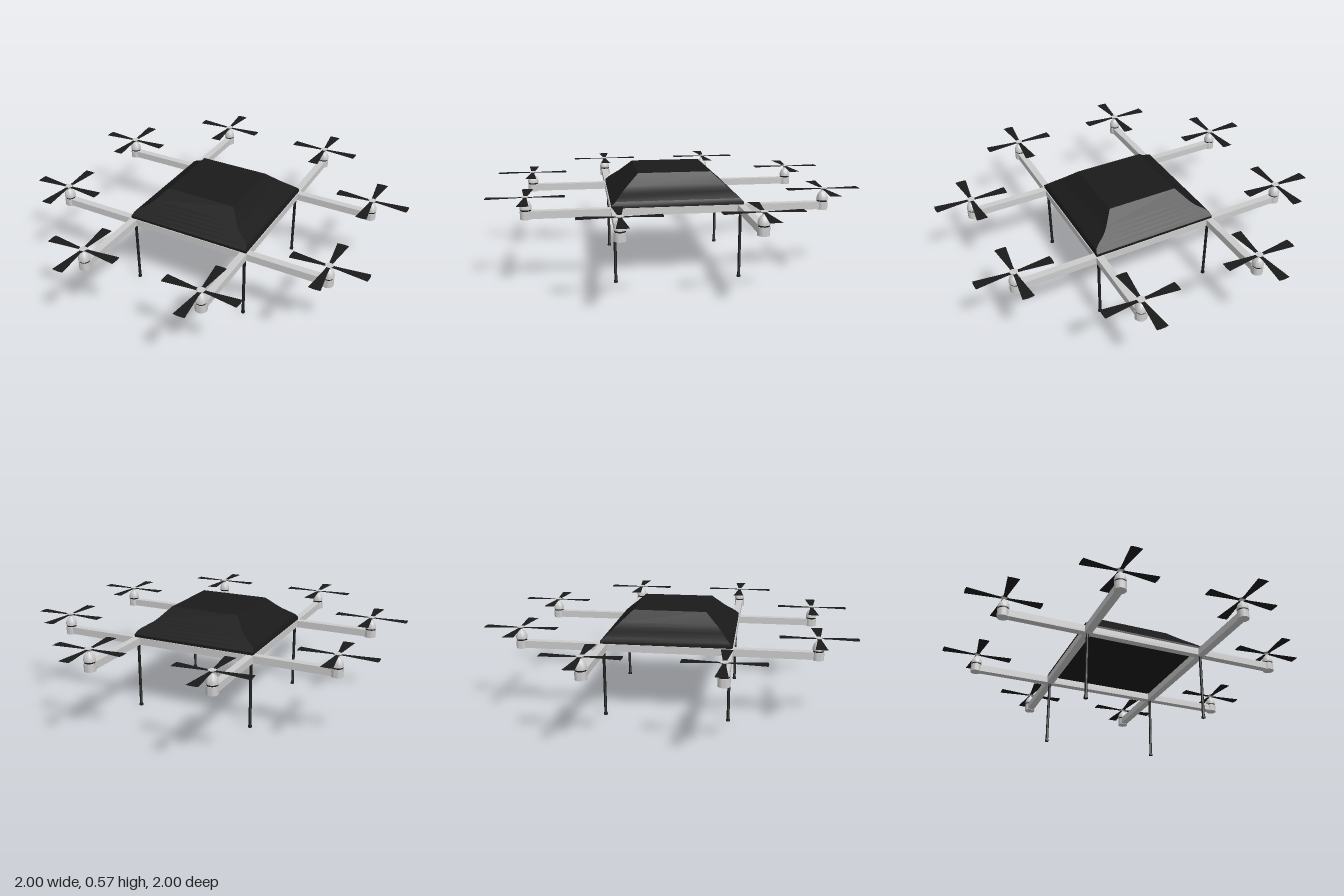
import * as THREE from 'three';
import { toCreasedNormals } from 'three/addons/utils/BufferGeometryUtils.js';

const grey = new THREE.MeshStandardMaterial({ color: 0xcccccc });
const black = new THREE.MeshStandardMaterial({ color: 0x1a1a1a });
const blackThin = new THREE.MeshStandardMaterial({ color: 0x1a1a1a, side: THREE.DoubleSide });

const BEAM = 0.34;  // offset of the beams from the centre
const TIP = 0.797;  // distance of the rotors along the beams

function mesh(name, geometry, material, x = 0, y = 0, z = 0) {
  const m = new THREE.Mesh(geometry, material);
  m.name = name;
  m.position.set(x, y, z);
  return m;
}

function lathe(points, segments = 24) {
  const profile = points.map(([r, y]) => new THREE.Vector2(r, y));
  return toCreasedNormals(new THREE.LatheGeometry(profile, segments), 0.6);
}

// Hipped cover: rectangular rings [y, half width, half depth], closed top and bottom
function coverGeometry() {
  const rings = [
    [0.415, 0.355, 0.355], [0.43, 0.355, 0.355], [0.448, 0.348, 0.334], [0.465, 0.325, 0.316],
    [0.48, 0.297, 0.3], [0.495, 0.274, 0.283], [0.512, 0.254, 0.264], [0.57, 0.2, 0.2],
  ];
  const corners = rings.map(([y, w, d]) => [[-w, y, d], [w, y, d], [w, y, -d], [-w, y, -d]]);
  const pos = [];
  const quad = (a, b, c, d) => pos.push(...a, ...b, ...c, ...a, ...c, ...d);
  for (let i = 0; i < rings.length - 1; i++) {
    for (let k = 0; k < 4; k++) {
      const n = (k + 1) % 4;
      quad(corners[i][k], corners[i][n], corners[i + 1][n], corners[i + 1][k]);
    }
  }
  const top = corners[rings.length - 1];
  const base = corners[0];
  quad(top[0], top[1], top[2], top[3]);
  quad(base[3], base[2], base[1], base[0]);
  const g = new THREE.BufferGeometry();
  g.setAttribute('position', new THREE.Float32BufferAttribute(pos, 3));
  return toCreasedNormals(g, 0.5);
}

// Flat blade widening towards a slightly rounded tip
function bladeGeometry() {
  const s = new THREE.Shape();
  s.moveTo(0, -0.009);
  s.lineTo(0.04, -0.011);
  s.lineTo(0.2, -0.031);
  s.quadraticCurveTo(0.206, 0, 0.2, 0.031);
  s.lineTo(0.04, 0.011);
  s.lineTo(0, 0.009);
  return new THREE.ShapeGeometry(s, 6).rotateX(-Math.PI / 2);
}

const mountGeo = lathe([[0, 0.372], [0.031, 0.372], [0.031, 0.416], [0, 0.416]]);
const ringGeo = new THREE.CylinderGeometry(0.028, 0.028, 0.012, 24);
const bellGeo = lathe([
  [0, 0.424], [0.031, 0.424], [0.031, 0.436], [0.027, 0.45], [0.02, 0.463], [0.01, 0.471],
  [0.008, 0.477], [0.012, 0.483], [0.021, 0.49], [0, 0.49],
]);
const bladeGeo = bladeGeometry();
const legGeo = lathe([
  [0, 0], [0.011, 0], [0.011, 0.008], [0.008, 0.014], [0.008, 0.38], [0, 0.38],
], 16);

function createRotor(x, z) {
  const rotor = new THREE.Group();
  rotor.name = 'rotor';
  rotor.position.set(x, 0, z);
  rotor.add(
    mesh('motorMount', mountGeo, grey),
    mesh('motorRing', ringGeo, black, 0, 0.42, 0),
    mesh('motorBell', bellGeo, grey),
  );
  for (let i = 0; i < 4; i++) {
    const blade = mesh('blade', bladeGeo, blackThin, 0, 0.486, 0);
    blade.rotation.y = i * Math.PI / 2;
    rotor.add(blade);
  }
  return rotor;
}

export function createModel() {
  const model = new THREE.Group();
  model.name = 'multirotorDrone';
  model.add(mesh('bodyCover', coverGeometry(), black));

  // Crossing frame beams
  const beamGeo = new THREE.BoxGeometry(0.04, 0.04, TIP * 2);
  for (const s of [-1, 1]) {
    model.add(mesh('lengthBeam', beamGeo, grey, s * BEAM, 0.395, 0));
    const cross = mesh('crossBeam', beamGeo, grey, 0, 0.395, s * BEAM);
    cross.rotation.y = Math.PI / 2;
    model.add(cross);
  }

  // A leg under each crossing, a rotor at each beam end
  for (const sx of [-1, 1]) {
    for (const sz of [-1, 1]) {
      model.add(mesh('leg', legGeo, black, sx * BEAM, 0, sz * BEAM));
      model.add(createRotor(sx * BEAM, sz * TIP), createRotor(sx * TIP, sz * BEAM));
    }
  }
  return model;
}
